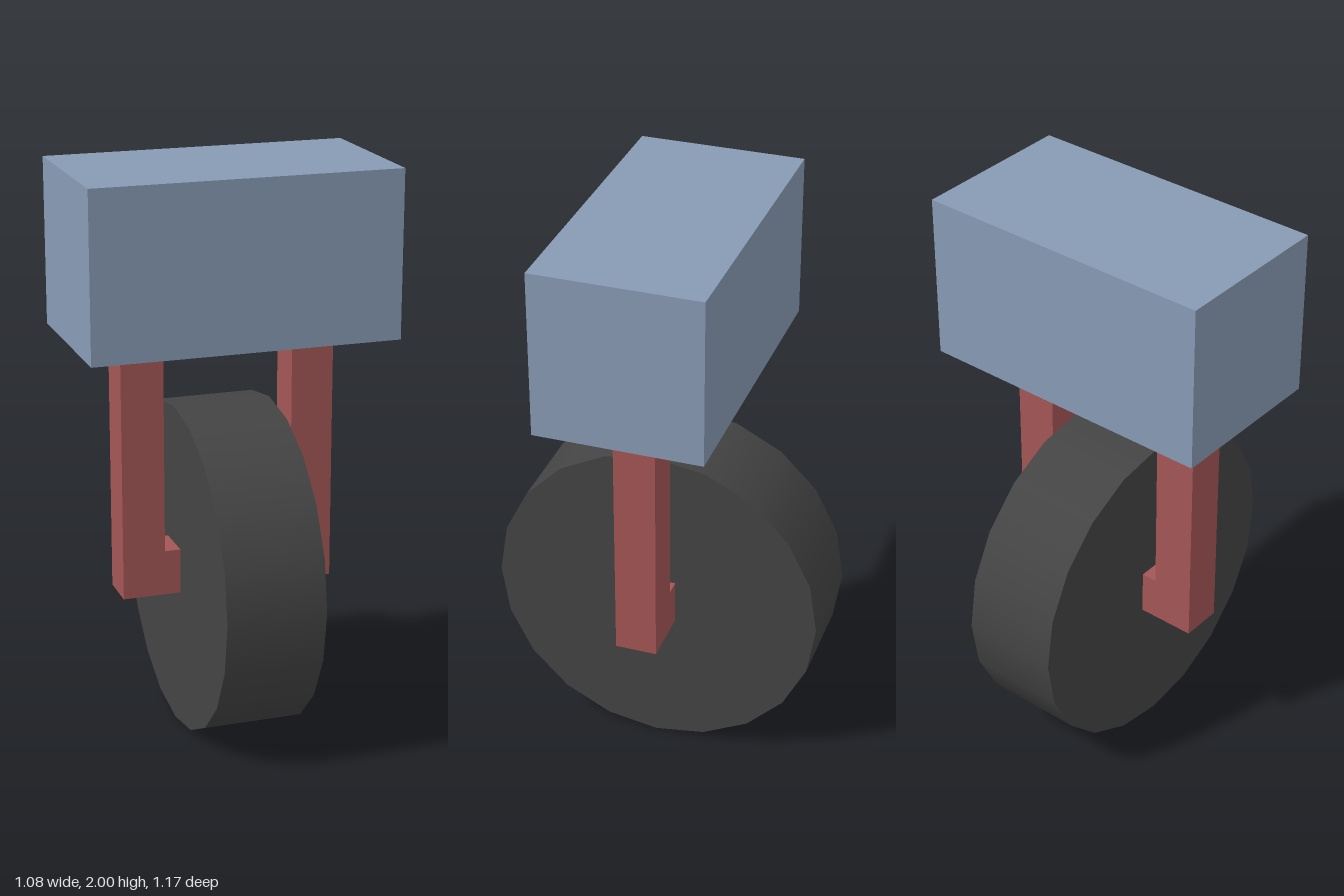
import * as THREE from 'three';

const material = (color) => new THREE.MeshStandardMaterial({ color });

function addPart(group, name, geometry, color) {
  const mesh = new THREE.Mesh(geometry, material(color));
  mesh.name = name;
  group.add(mesh);
  return mesh;
}

export function createModel() {
  const group = new THREE.Group();
  group.name = 'casterWheel';

  // Mounting block on top
  addPart(group, 'mountBlock', new THREE.BoxGeometry(1.076, 0.582, 0.582), 0x889bb5)
    .position.y = 1.709;

  // U-shaped fork: two legs joined by the axle bar through the wheel
  const outer = 0.38, inner = 0.23, bottom = 0.51, axleTop = 0.67, top = 1.418, depth = 0.146;
  const outline = new THREE.Shape([
    [-outer, bottom], [outer, bottom], [outer, top], [inner, top],
    [inner, axleTop], [-inner, axleTop], [-inner, top], [-outer, top],
  ].map(([x, y]) => new THREE.Vector2(x, y)));
  const fork = new THREE.ExtrudeGeometry(outline, { depth, bevelEnabled: false });
  fork.translate(0, 0, -depth / 2);
  addPart(group, 'fork', fork, 0xa55656);

  // Solid wheel, axis along x
  const radius = 0.584;
  const wheel = new THREE.CylinderGeometry(radius, radius, 0.348, 20);
  wheel.rotateZ(Math.PI / 2);
  addPart(group, 'wheel', wheel, 0x444444).position.y = radius + 0.002;

  return group;
}
